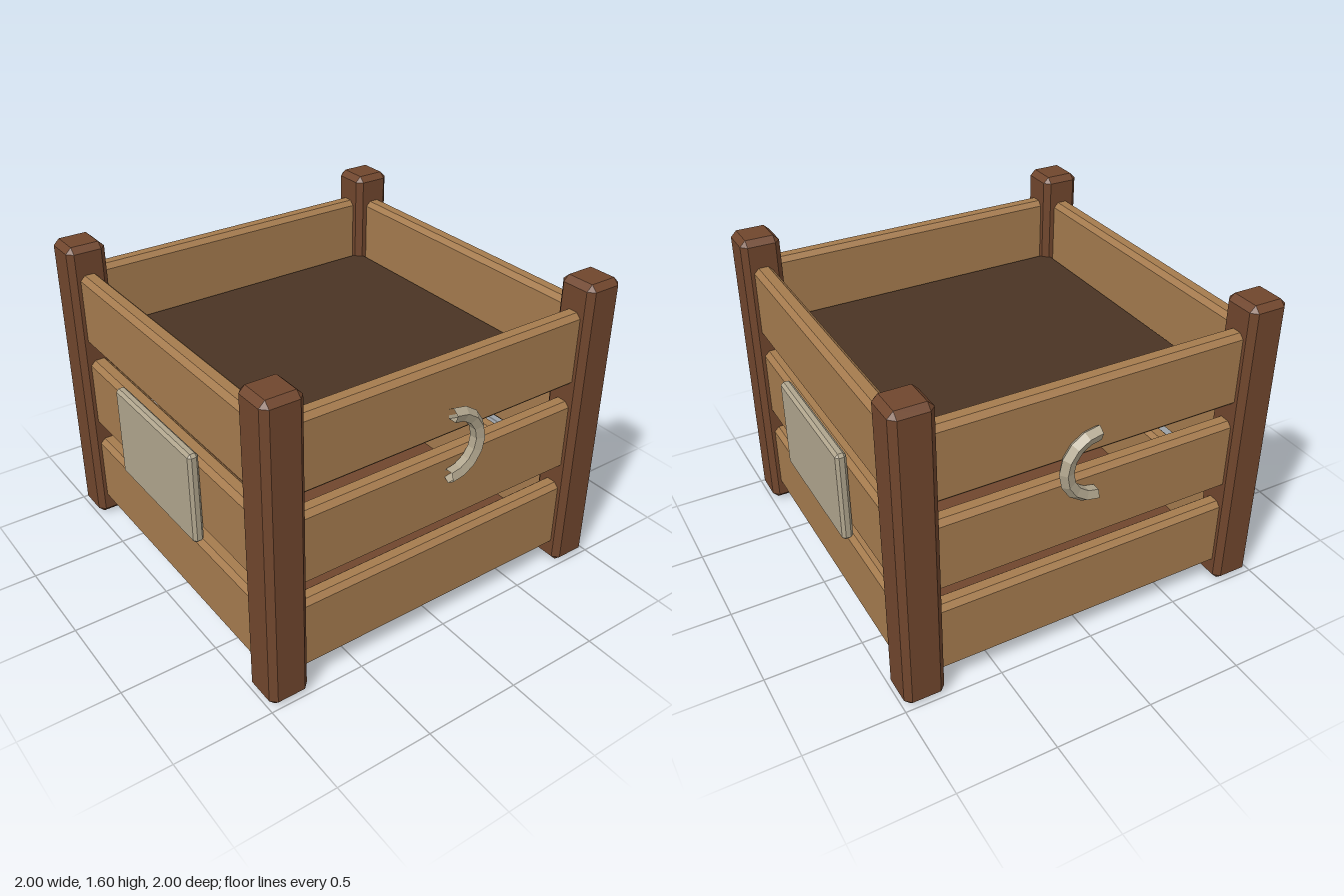
import * as THREE from 'three';
import { ConvexGeometry } from 'three/addons/geometries/ConvexGeometry.js';

const material = (name, color) => Object.assign(new THREE.MeshStandardMaterial({ color }), { name });

// Box with flat chamfers of width c on every edge, centred on the origin
function chamferBox(w, h, d, c) {
  const points = [];
  for (const sx of [-1, 1]) for (const sy of [-1, 1]) for (const sz of [-1, 1]) {
    for (let axis = 0; axis < 3; axis++) {
      const inset = [c, c, c];
      inset[axis] = 0;
      points.push(new THREE.Vector3(
        sx * (w / 2 - inset[0]), sy * (h / 2 - inset[1]), sz * (d / 2 - inset[2])));
    }
  }
  return new ConvexGeometry(points);
}

export function createModel() {
  const crate = new THREE.Group();
  crate.name = 'woodenCrate';

  const slatWood = material('slatWood', 0xa57b4e);
  const postWood = material('postWood', 0x70462d);
  const soil = material('darkFill', 0x4a3424);
  const pale = material('paleMetal', 0xb0a58d);
  pale.side = THREE.DoubleSide;

  const add = (parent, name, geometry, mat, x, y, z) => {
    const mesh = new THREE.Mesh(geometry, mat);
    mesh.name = name;
    mesh.position.set(x, y, z);
    parent.add(mesh);
    return mesh;
  };

  // Corner posts
  const post = chamferBox(0.205, 1.6, 0.205, 0.03);
  for (const x of [-1, 1]) for (const z of [-1, 1]) {
    add(crate, 'cornerPost', post, postWood, x * 0.886, 0.8, z * 0.886);
  }

  // Three slats on each of the four walls
  const slat = chamferBox(1.7, 0.388, 0.1, 0.025);
  ['frontWall', 'leftWall', 'backWall', 'rightWall'].forEach((name, i) => {
    const wall = new THREE.Group();
    wall.name = name;
    wall.rotation.y = i * Math.PI / 2;
    for (const y of [0.292, 0.774, 1.256]) add(wall, 'slat', slat, slatWood, 0, y, 0.89);
    crate.add(wall);
  });

  // Base board and the dark filling near the top
  add(crate, 'baseBoard', new THREE.BoxGeometry(1.7, 0.1, 1.7), postWood, 0, 0.07, 0);
  add(crate, 'darkFill', new THREE.BoxGeometry(1.645, 0.09, 1.645), soil, 0, 1.075, 0);

  // Blank plates on front and back
  const plate = chamferBox(0.735, 0.49, 0.055, 0.015);
  add(crate, 'frontPlate', plate, pale, 0, 0.785, 0.9725);
  add(crate, 'backPlate', plate, pale, 0, 0.785, -0.9725);

  // Half-ring handles on both sides, bulging toward the back
  const ring = new THREE.TorusGeometry(0.164, 0.036, 5, 8, Math.PI)
    .rotateZ(-Math.PI / 2).rotateY(Math.PI / 2).toNonIndexed();
  ring.computeVertexNormals();
  add(crate, 'leftHandle', ring, pale, 0.966, 1.03, 0);
  add(crate, 'rightHandle', ring, pale, -0.966, 1.03, 0);

  return crate;
}
